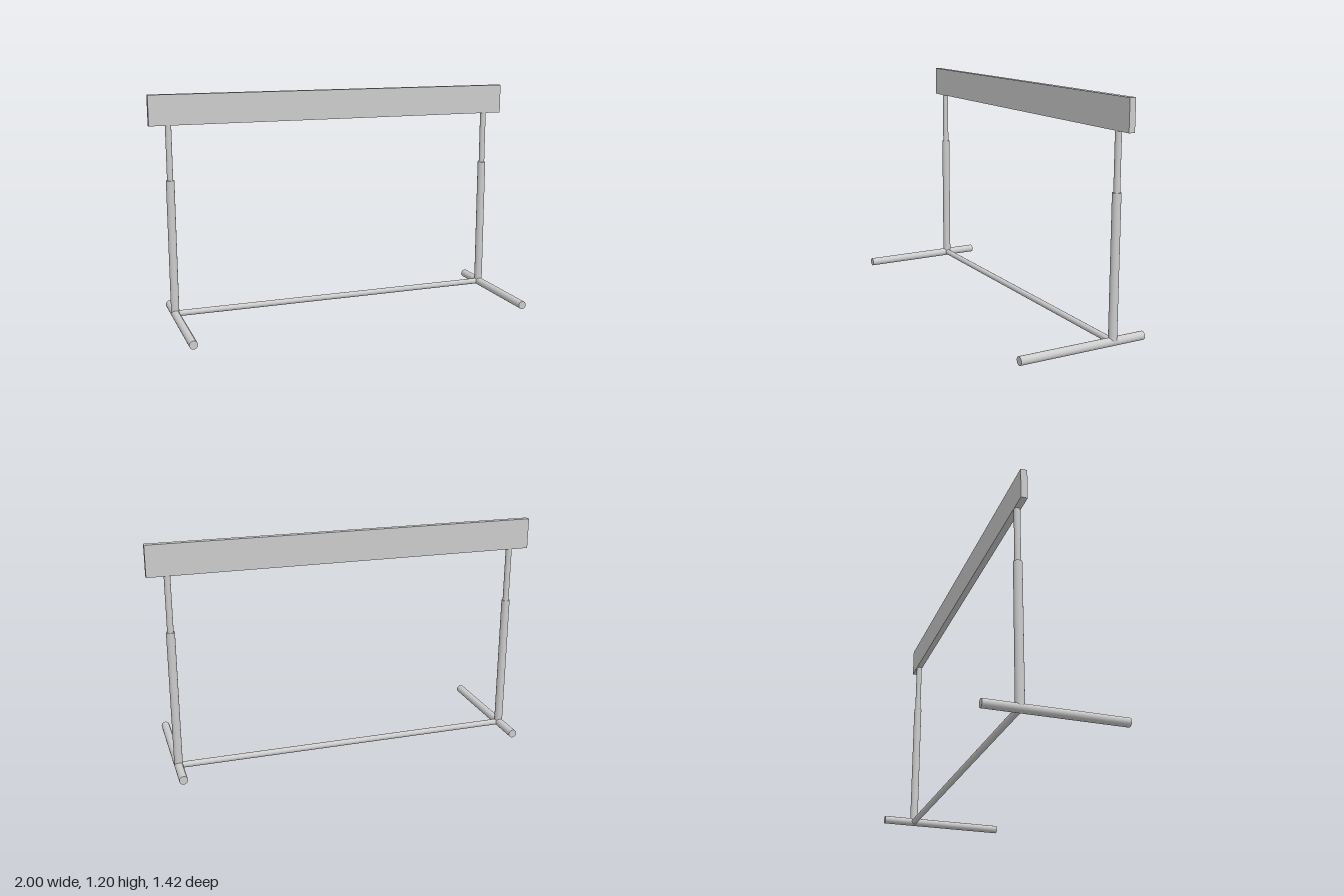
import * as THREE from 'three';

const HALF_SPAN = 0.916;   // posts sit this far either side of the middle
const POST_Z = -0.17;      // posts stand behind the middle of the feet
const TUBE = 0.022;        // radius of feet and outer posts
const THIN = 0.016;        // radius of inner posts and crossbar

export function createModel() {
  const model = new THREE.Group();
  model.name = 'hurdle';
  const material = new THREE.MeshStandardMaterial({ color: 0xcccccc });

  // The hurdle stands turned about the vertical axis
  const frame = new THREE.Group();
  frame.name = 'frame';
  frame.rotation.y = -THREE.MathUtils.degToRad(24.85);
  model.add(frame);

  const add = (name, geometry, x, y, z) => {
    const mesh = new THREE.Mesh(geometry, material);
    mesh.name = name;
    mesh.position.set(x, y, z);
    frame.add(mesh);
    return mesh;
  };
  const tube = (radius, length) => new THREE.CylinderGeometry(radius, radius, length, 24);

  // Foot, outer post and telescoping inner post on each side
  for (const [side, s] of [['left', 1], ['right', -1]]) {
    const x = s * HALF_SPAN;
    add(side + 'Foot', tube(TUBE, 0.693).rotateX(Math.PI / 2), x, TUBE, 0);
    add(side + 'OuterPost', tube(TUBE, 0.728), x, 0.386, POST_Z);
    add(side + 'InnerPost', tube(THIN, 0.30), x, 0.89, POST_Z);
  }

  // Floor crossbar joining the feet
  add('crossbar', tube(THIN, HALF_SPAN * 2).rotateZ(Math.PI / 2), 0, TUBE, POST_Z);

  // Top board
  add('topBoard', new THREE.BoxGeometry(2.035, 0.16, 0.033), 0, 1.12, POST_Z);

  return model;
}
